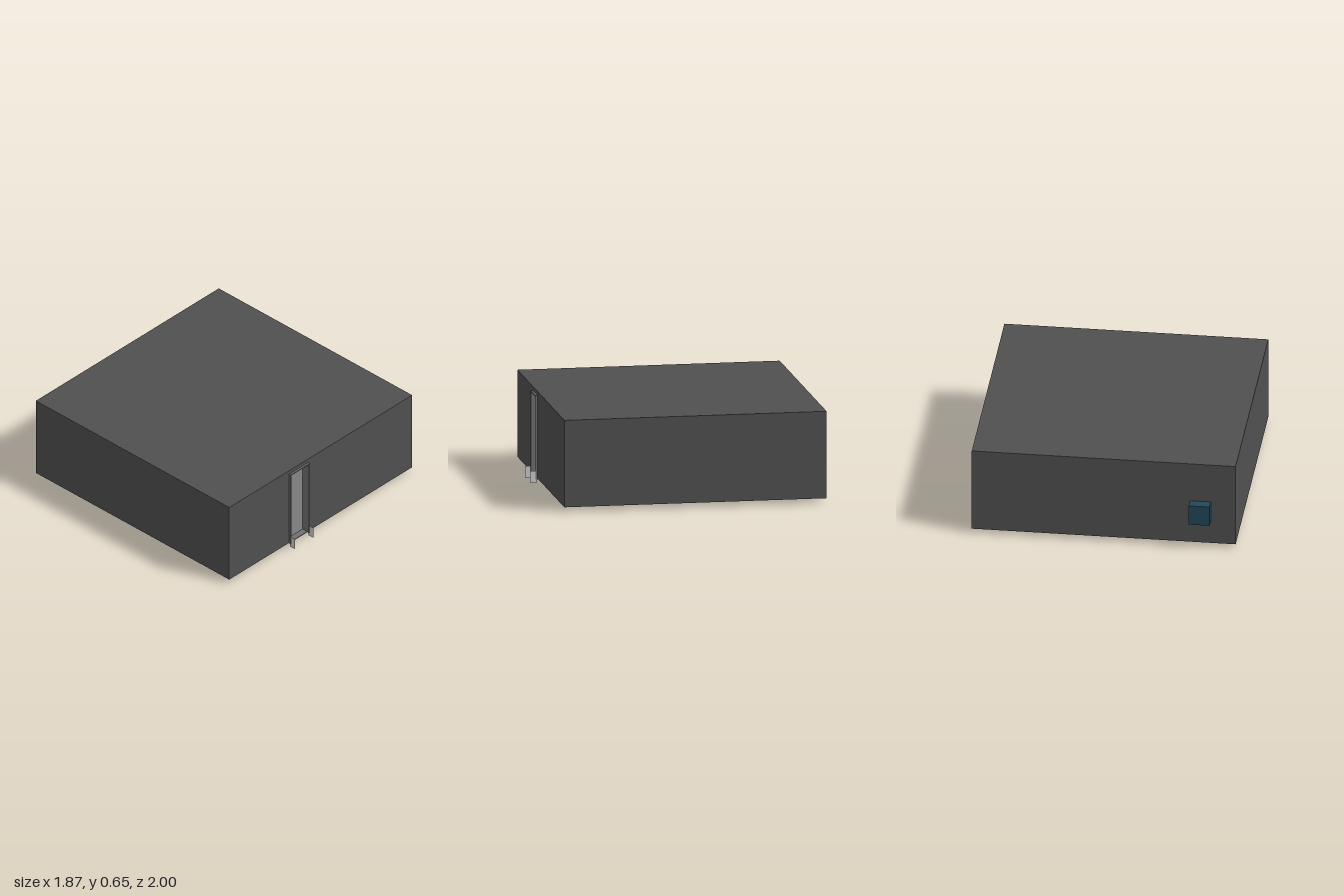
import * as THREE from 'three';

const mat = (color, side = THREE.FrontSide) =>
  new THREE.MeshStandardMaterial({ color, side, flatShading: true });
const wallMat = mat(0x505050);
const floorMat = mat(0xb8b8b8);
const doorMat = mat(0x888888);
const frameMat = mat(0x707070);
const bracketMat = mat(0xcccccc, THREE.DoubleSide);
const blueMat = mat(0x22485c);

// Box given by its minimum and maximum corners
function box(name, material, [x0, y0, z0], [x1, y1, z1]) {
  const mesh = new THREE.Mesh(new THREE.BoxGeometry(x1 - x0, y1 - y0, z1 - z0), material);
  mesh.position.set((x0 + x1) / 2, (y0 + y1) / 2, (z0 + z1) / 2);
  mesh.name = name;
  return mesh;
}

export function createModel() {
  const model = new THREE.Group();
  model.name = 'building';

  const W = 0.933, BACK = -0.925, FRONT = 0.945;   // footprint
  const Y0 = 0.03, Y1 = 0.652, T = 0.07;           // height and wall thickness
  const DL = -0.322, DR = -0.128, DT = 0.623;      // doorway

  // Side and back walls, roof and floor
  const shell = new THREE.Group();
  shell.name = 'shell';
  for (const s of [-1, 1]) {
    const a = s * W, b = s * (W - T);
    shell.add(box(s > 0 ? 'leftWall' : 'rightWall', wallMat,
      [Math.min(a, b), Y0, BACK], [Math.max(a, b), Y1, FRONT]));
  }
  shell.add(
    box('backWall', wallMat, [-W + T, Y0, BACK], [W - T, Y1, BACK + T]),
    box('roof', wallMat, [-W + T, Y1 - T, BACK + T], [W - T, Y1, FRONT - T]),
    box('floor', floorMat, [-W + T, Y0 - 0.002, BACK + T], [W - T, Y0 + 0.02, FRONT - T]),
  );

  // Front wall, notched for the doorway
  const outline = new THREE.Shape([
    [-W + T, Y0], [DL, Y0], [DL, DT], [DR, DT], [DR, Y0],
    [W - T, Y0], [W - T, Y1], [-W + T, Y1],
  ].map(([x, y]) => new THREE.Vector2(x, y)));
  const frontWall = new THREE.Mesh(
    new THREE.ExtrudeGeometry(outline, { depth: T, bevelEnabled: false }), wallMat);
  frontWall.position.z = FRONT - T;
  frontWall.name = 'frontWall';
  shell.add(frontWall);
  model.add(shell);

  // Door set back in a thin frame
  const door = new THREE.Group();
  door.name = 'door';
  const F = 0.009, Z0 = FRONT - T, Z1 = 0.96, YB = 0.025;
  door.add(
    box('doorPanel', doorMat, [DL + F, YB + 0.005, Z0], [DR - F, DT - F, Z0 + 0.025]),
    box('rightJamb', frameMat, [DL, YB, Z0], [DL + F, DT, Z1]),
    box('leftJamb', frameMat, [DR - F, YB, Z0], [DR, DT, Z1]),
    box('lintel', frameMat, [DL + F, DT - F, Z0], [DR - F, DT, Z1]),
    box('threshold', frameMat, [DL + F, YB, Z0], [DR - F, YB + 0.006, FRONT]),
  );
  // Thin upright plates at the foot of the frame
  for (const x of [DL + 0.003, DR - 0.003]) {
    const plate = new THREE.Mesh(new THREE.PlaneGeometry(0.05, 0.085), bracketMat);
    plate.rotation.y = Math.PI / 2;
    plate.position.set(x, 0.0425, 0.975);
    plate.name = 'footPlate';
    door.add(plate);
  }
  model.add(door);

  // Unit on the back wall and square panel under the floor
  model.add(
    box('wallUnit', blueMat, [-0.758, 0.207, -1], [-0.61, 0.357, BACK]),
    box('floorPanel', blueMat, [-0.27, Y0 - 0.006, -0.16], [0.08, Y0, 0.19]),
  );
  return model;
}
